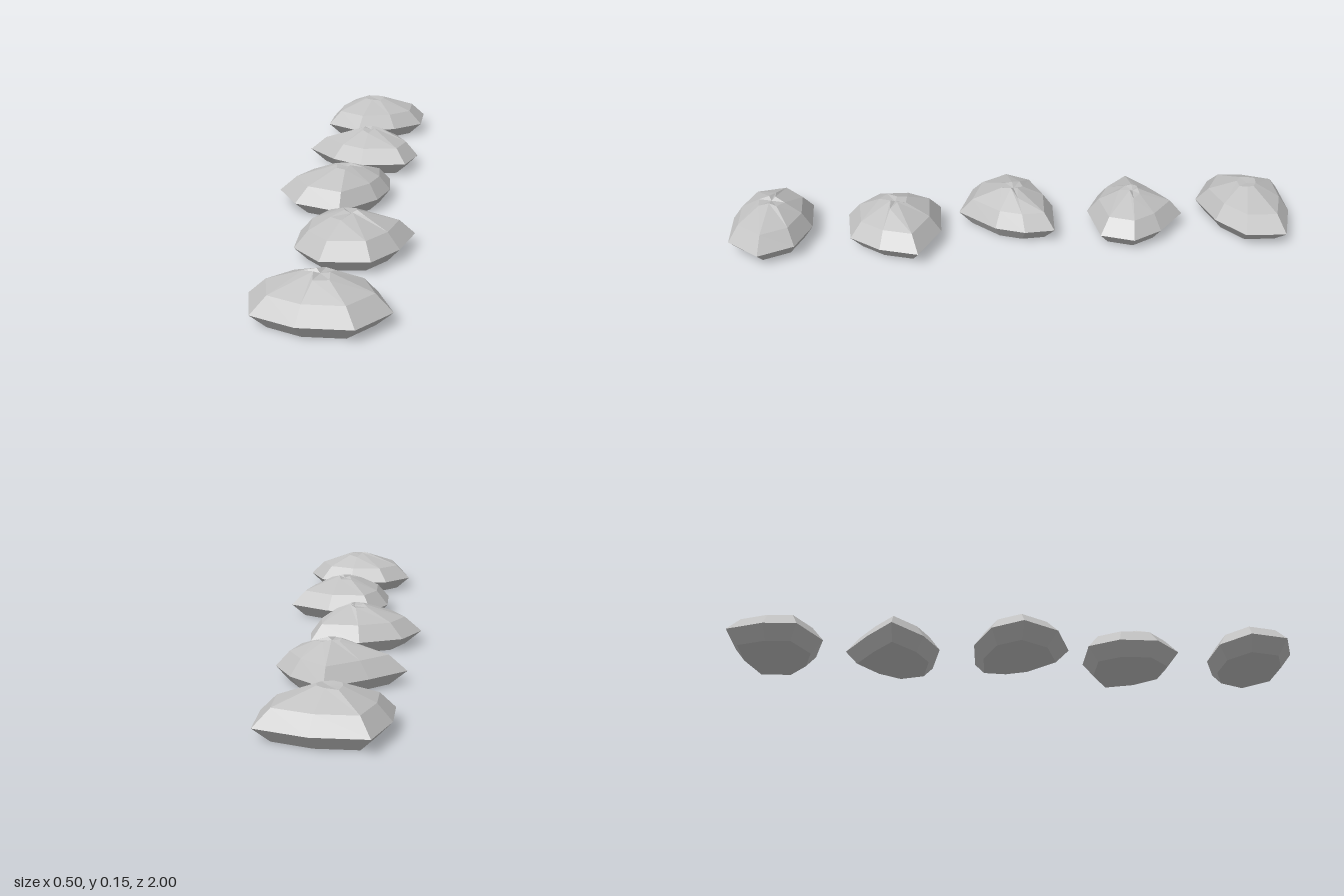
import * as THREE from 'three';

const stone = new THREE.MeshStandardMaterial({ color: 0xc0c0c0 });
stone.name = 'light grey stone';

// Each rock: crown centre, widest outline (x, z) and reach of each crown corner
const rocks = [
  { centre: [0.04, -0.84], crown: [0.24, 0.2, 0.16, 0.18, 0.25, 0.2, 0.2, 0.22],
    rim: [[-0.08, -1], [0.09, -0.99], [0.25, -0.93], [0.24, -0.79], [0.13, -0.71], [-0.02, -0.675], [-0.15, -0.755], [-0.14, -0.87]] },
  { centre: [0.05, -0.42], crown: [0.1, 0.24, 0.3, 0.1, 0.3, 0.22, 0.12, 0.2],
    rim: [[0.07, -0.6], [0.18, -0.5], [0.235, -0.395], [0.19, -0.285], [0.02, -0.265], [-0.09, -0.325], [-0.19, -0.435], [-0.07, -0.52]] },
  { centre: [-0.01, 0], crown: [0.1, 0.4, 0.12, 0.22, 0.2, 0.14, 0.28, 0.24],
    rim: [[0.14, -0.13], [0.145, -0.025], [0.105, 0.075], [-0.02, 0.195], [-0.18, 0.135], [-0.25, 0.01], [-0.18, -0.095], [-0.03, -0.145]] },
  { centre: [0.04, 0.42], crown: [0.26, 0.24, 0.1, 0.3, 0.1, 0.32, 0.36, 0.12],
    rim: [[-0.065, 0.26], [0.1, 0.265], [0.245, 0.35], [0.2, 0.48], [0.115, 0.58], [-0.045, 0.59], [-0.135, 0.495], [-0.13, 0.36]] },
  { centre: [-0.01, 0.85], crown: [0.1, 0.34, 0.26, 0.14, 0.28, 0.3, 0.1, 0.24],
    rim: [[-0.125, 0.72], [0.025, 0.715], [0.15, 0.77], [0.2, 0.89], [0.1, 0.998], [-0.065, 0.998], [-0.2, 0.94], [-0.225, 0.805]] },
];

// Faceted stone: foot, rim, shoulder and crown rings, closed by fans
function rockGeometry({ centre: [cx, cz], rim, crown }) {
  const ring = (height, scale) => rim.map(([x, z], i) => {
    const s = scale(i);
    return [cx + (x - cx) * s, height(s), cz + (z - cz) * s];
  });
  const rings = [
    ring(() => 0, () => 0.76),
    ring(() => 0.047, () => 1),
    ring(() => 0.1, () => 0.75),
    ring((s) => 0.155 - 0.05 * s, (i) => crown[i]), // longer corners sit lower
  ];
  const n = rim.length;
  const pos = [];
  const tri = (a, b, c) => pos.push(...a, ...b, ...c);
  for (let i = 0; i < n; i++) {
    const j = (i + 1) % n;
    for (let k = 0; k < 3; k++) {
      const lo = rings[k], hi = rings[k + 1];
      tri(lo[i], hi[i], hi[j]);
      tri(lo[i], hi[j], lo[j]);
    }
    tri([cx, 0.141, cz], rings[3][j], rings[3][i]); // dipped crown
    tri([cx, 0, cz], rings[0][i], rings[0][j]); // flat underside
  }
  const g = new THREE.BufferGeometry();
  g.setAttribute('position', new THREE.Float32BufferAttribute(pos, 3));
  g.computeVertexNormals(); // unshared corners give flat facets
  return g;
}

export function createModel() {
  const group = new THREE.Group();
  group.name = 'steppingStones';
  rocks.forEach((rock, i) => {
    const mesh = new THREE.Mesh(rockGeometry(rock), stone);
    mesh.name = `rock${i + 1}`;
    group.add(mesh);
  });
  return group;
}
